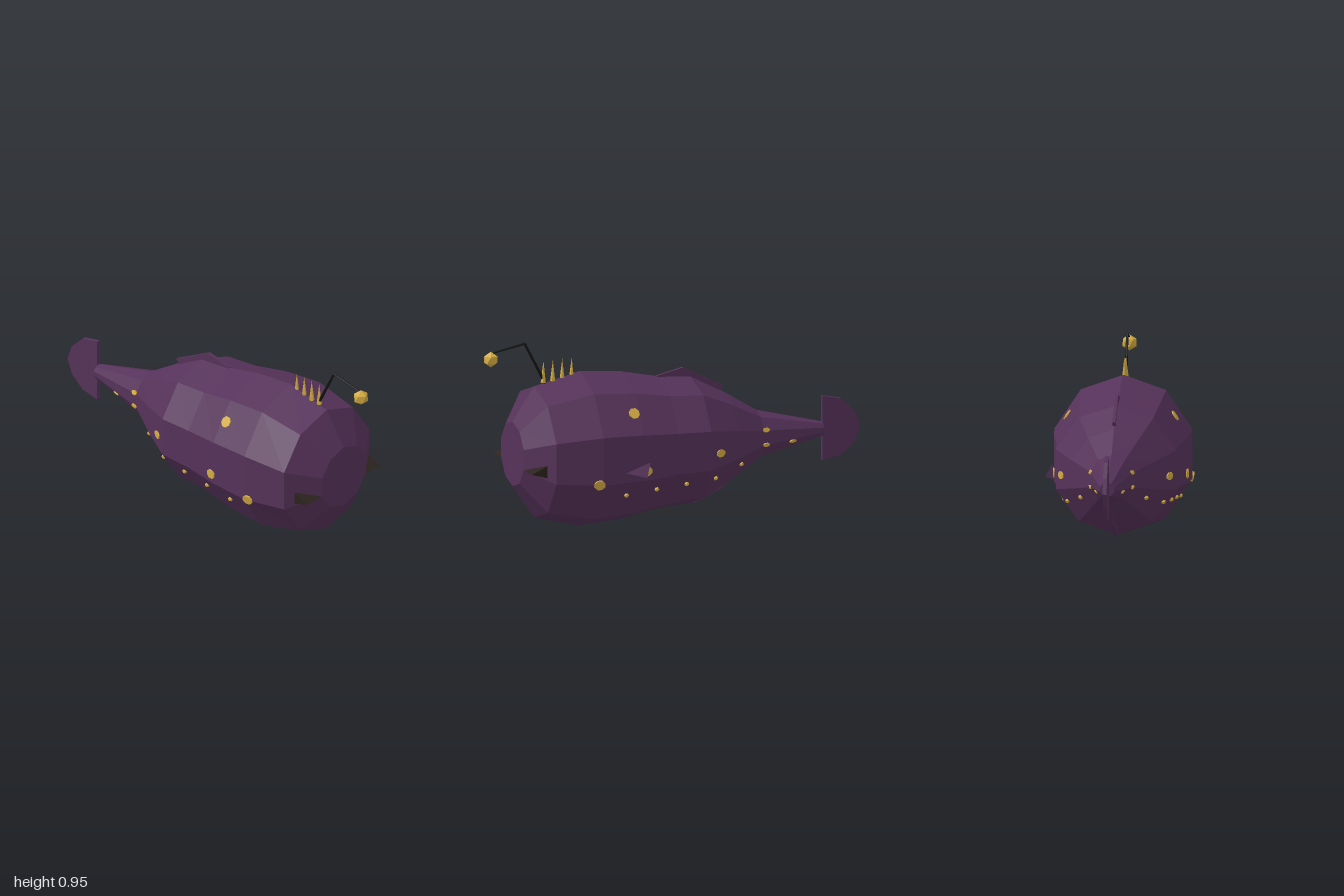
import * as THREE from 'three';
import { ConvexGeometry } from 'three/addons/geometries/ConvexGeometry.js';

const SIDES = 10, MID = 0.397;
// cross-sections of the body from tail to snout: x, half height, half width
const RINGS = [
  [-0.8, 0.037, 0.037], [-0.45, 0.123, 0.113], [-0.28, 0.228, 0.218], [-0.1, 0.323, 0.315],
  [0.08, 0.336, 0.324], [0.27, 0.375, 0.35], [0.49, 0.393, 0.362], [0.73, 0.334, 0.331], [0.845, 0.164, 0.166],
];

const flat = (name, color) => {
  const m = new THREE.MeshStandardMaterial({ color, flatShading: true });
  m.name = name;
  return m;
};

function ringPoint([x, ry, rz], j) {
  const a = (j / SIDES) * Math.PI * 2;
  return new THREE.Vector3(x, MID + ry * Math.cos(a), rz * Math.sin(a));
}

function bodyGeometry() {
  const pos = [];
  const tri = (...pts) => pts.forEach((p) => pos.push(p.x, p.y, p.z));
  for (let j = 0; j < SIDES; j++) {
    for (let i = 0; i < RINGS.length - 1; i++) {
      const a = ringPoint(RINGS[i], j), b = ringPoint(RINGS[i], j + 1);
      const c = ringPoint(RINGS[i + 1], j + 1), d = ringPoint(RINGS[i + 1], j);
      tri(a, b, c);
      tri(a, c, d);
    }
    const tail = RINGS[0], snout = RINGS[RINGS.length - 1];
    tri(new THREE.Vector3(tail[0], MID, 0), ringPoint(tail, j + 1), ringPoint(tail, j));
    tri(new THREE.Vector3(snout[0], MID, 0), ringPoint(snout, j), ringPoint(snout, j + 1));
  }
  const g = new THREE.BufferGeometry();
  g.setAttribute('position', new THREE.Float32BufferAttribute(pos, 3));
  g.computeVertexNormals();
  return g;
}

// depth of the +z flank at a given x and y
function flankZ(x, y) {
  let i = 0;
  while (i < RINGS.length - 2 && RINGS[i + 1][0] < x) i++;
  const [p, q] = [RINGS[i], RINGS[i + 1]];
  const t = (x - p[0]) / (q[0] - p[0]);
  const ring = p.map((v, k) => v + (q[k] - v) * t);
  for (let j = 0; j < SIDES / 2; j++) {
    const a = ringPoint(ring, j), b = ringPoint(ring, j + 1);
    if (y <= a.y && y >= b.y) return a.z + ((b.z - a.z) * (a.y - y)) / (a.y - b.y);
  }
  return 0;
}

function flankNormal(x, y) {
  const e = 0.008;
  return new THREE.Vector3(
    -(flankZ(x + e, y) - flankZ(x - e, y)) / (2 * e),
    -(flankZ(x, y + e) - flankZ(x, y - e)) / (2 * e), 1).normalize();
}

function plate(points, depth) {
  const shape = new THREE.Shape(points.map(([x, y]) => new THREE.Vector2(x, y)));
  return new THREE.ExtrudeGeometry(shape, { depth, bevelEnabled: false }).translate(0, 0, -depth / 2);
}

const convex = (points) => new ConvexGeometry(points.map((p) => new THREE.Vector3(...p)));

export function createModel() {
  const model = new THREE.Group();
  model.name = 'anglerFish';
  model.position.z = 0.016;
  const purple = flat('skinPurple', 0x56325a);
  const gold = flat('glowGold', 0xd4ac42);
  const black = flat('stalkBlack', 0x141414);
  const dark = flat('eyeDark', 0x2c231e);
  const add = (name, geometry, material) => {
    const mesh = new THREE.Mesh(geometry, material);
    mesh.name = name;
    model.add(mesh);
    return mesh;
  };

  add('body', bodyGeometry(), purple);

  // thin upright fins
  add('tailFin', plate([[-0.8, 0.565], [-0.9, 0.545], [-0.97, 0.478], [-1, 0.4],
    [-0.97, 0.322], [-0.9, 0.26], [-0.8, 0.238]], 0.02), purple);
  add('dorsalFin', plate([[-0.275, 0.658], [-0.06, 0.767], [0.08, 0.735], [0.08, 0.66], [-0.2, 0.6]], 0.016), purple);
  add('bellyFin', plate([[-0.31, 0.2], [-0.27, 0.138], [-0.12, 0.073], [-0.1, 0.14], [-0.25, 0.22]], 0.016), purple);

  // small fin on the right flank
  add('sideFin', convex([[0.24, 0.375, -0.34], [0.37, 0.33, -0.342], [0.27, 0.305, -0.376], [0.25, 0.295, -0.32]]), purple);

  // wedge-shaped eyes
  for (const s of [1, -1]) {
    add(s > 0 ? 'leftEye' : 'rightEye', convex([[0.845, 0.345, s * 0.272], [0.73, 0.398, s * 0.272],
      [0.73, 0.312, s * 0.272], [0.843, 0.347, s * 0.156]]), dark);
  }

  // glowing patches lying on both flanks: x, y, half length, half height
  const patches = [[0.3, 0.613, 0.029, 0.029], [-0.16, 0.376, 0.03, 0.02], [0.255, 0.33, 0.029, 0.025],
    [0.51, 0.28, 0.029, 0.026], [-0.465, 0.436, 0.02, 0.012], [-0.465, 0.362, 0.02, 0.01], [-0.62, 0.362, 0.02, 0.01]];
  for (const [x, y, w, h] of patches) {
    for (const s of [1, -1]) {
      const n = flankNormal(x, y);
      n.z *= s;
      const disc = new THREE.CylinderGeometry(1, 1, 0.009, 8).rotateY(Math.PI / 8).rotateX(Math.PI / 2).scale(w, h, 1);
      const patch = add('glowPatch', disc, gold);
      patch.position.set(x, y, s * flankZ(x, y)).addScaledVector(n, 0.001);
      patch.lookAt(patch.position.clone().add(n));
    }
  }

  // row of glowing beads along the lower flanks
  for (const [x, y] of [[-0.31, 0.288], [-0.145, 0.245], [0.02, 0.234], [0.185, 0.223], [0.35, 0.207]]) {
    for (const s of [1, -1]) {
      add('glowBead', new THREE.IcosahedronGeometry(0.013, 0), gold).position.set(x, y, s * (flankZ(x, y) + 0.004));
    }
  }

  // spines on the forehead
  for (let i = 0; i < 4; i++) {
    add('spine', new THREE.ConeGeometry(0.014, 0.11, 5), gold).position.set(0.53 + i * 0.05, 0.808 - i * 0.002, 0);
  }

  // bent stalk and lure
  const stalk = [[0.67, 0.74], [0.78, 0.952], [0.96, 0.915]].map(([x, y]) => new THREE.Vector3(x, y, 0));
  for (let i = 0; i < 2; i++) {
    const dir = stalk[i + 1].clone().sub(stalk[i]);
    const rod = add('stalk', new THREE.CylinderGeometry(i ? 0.004 : 0.006, i ? 0.006 : 0.008, dir.length() + 0.004, 6), black);
    rod.position.copy(stalk[i]).addScaledVector(dir, 0.5);
    rod.quaternion.setFromUnitVectors(new THREE.Vector3(0, 1, 0), dir.normalize());
  }
  add('lure', new THREE.IcosahedronGeometry(0.04, 0).rotateZ(-0.5536), gold).position.set(0.96, 0.885, 0);
  return model;
}
